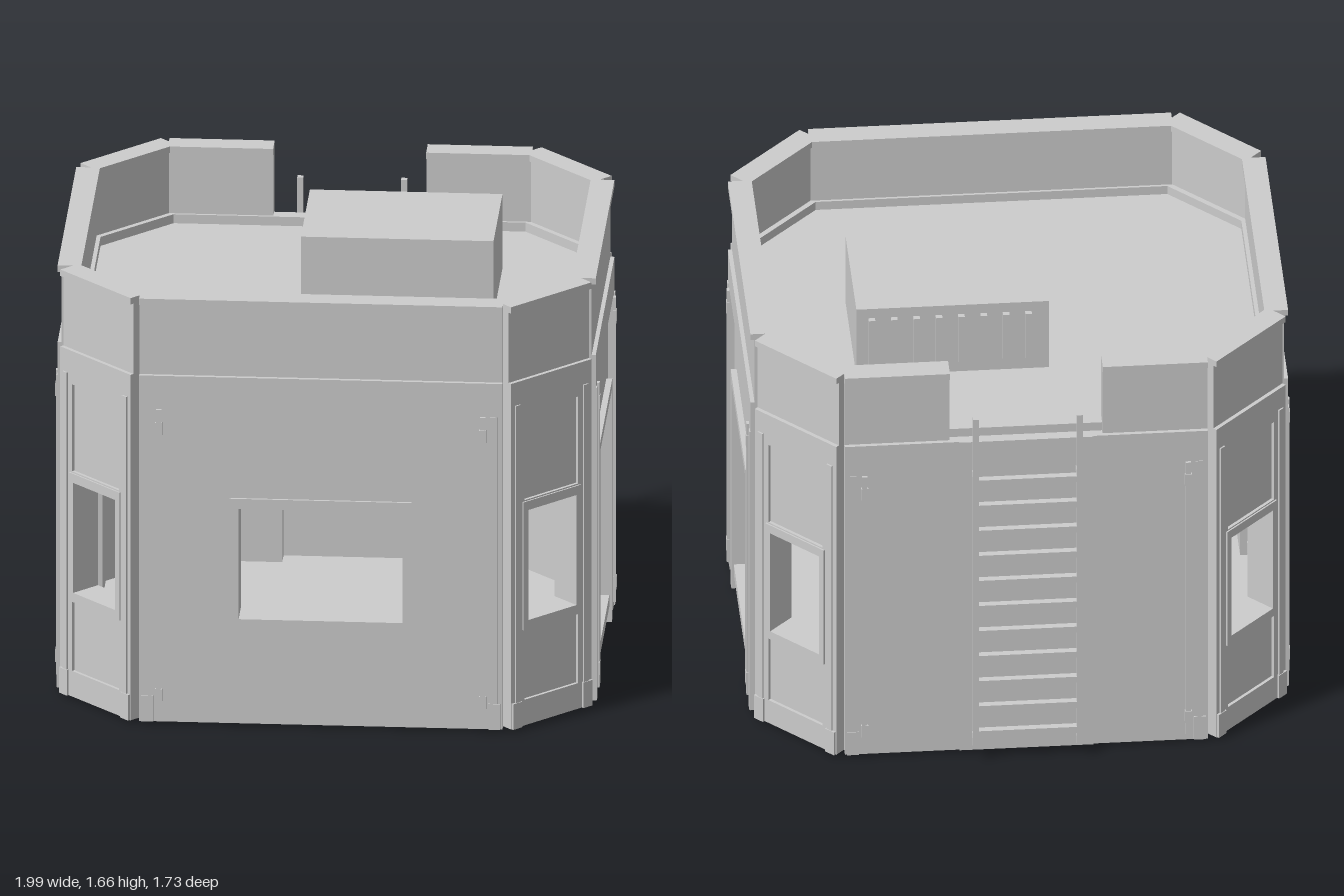
import * as THREE from 'three';

const grey = new THREE.MeshStandardMaterial({ color: 0xcccccc });
grey.name = 'plain grey';

function mesh(parent, name, geo) {
  const m = new THREE.Mesh(geo, grey);
  m.name = name;
  parent.add(m);
  return m;
}

// box given by its min and max on each axis
function box(parent, name, x0, x1, y0, y1, z0, z1) {
  const g = new THREE.BoxGeometry(x1 - x0, y1 - y0, z1 - z0);
  g.translate((x0 + x1) / 2, (y0 + y1) / 2, (z0 + z1) / 2);
  return mesh(parent, name, g);
}

function outline(Type, points) {
  return new Type().setFromPoints(points.map(([x, y]) => new THREE.Vector2(x, y)));
}

function extrude(parent, name, shape, z0, z1) {
  const g = new THREE.ExtrudeGeometry(shape, { depth: z1 - z0, bevelEnabled: false });
  g.translate(0, 0, z0);
  return mesh(parent, name, g);
}

const rect = (Type, h, y0, y1) => outline(Type, [[-h, y0], [h, y0], [h, y1], [-h, y1]]);

// upright sheet with rectangular holes; z0 to z1 is its thickness
function sheet(parent, name, half, y0, y1, z0, z1, holes = []) {
  const s = rect(THREE.Shape, half, y0, y1);
  for (const [h, a, b] of holes) s.holes.push(rect(THREE.Path, h, a, b));
  return extrude(parent, name, s, z0, z1);
}

// upright sheet with a doorway open at the bottom
function doorSheet(parent, name, half, y1, z0, z1, h, top) {
  const s = outline(THREE.Shape, [
    [-half, 0.01], [-h, 0.01], [-h, top], [h, top], [h, 0.01], [half, 0.01], [half, y1], [-half, y1],
  ]);
  return extrude(parent, name, s, z0, z1);
}

// eight-sided slab with half sizes x, z and corner cut c, optionally a ring of width w
function slab(parent, name, x, z, c, y0, y1, w) {
  const octagon = (Type, a, b, k) => outline(Type, [
    [a, b - k], [a - k, b], [k - a, b], [-a, b - k], [-a, k - b], [k - a, -b], [a - k, -b], [a, k - b],
  ]);
  const s = octagon(THREE.Shape, x, z, c);
  if (w) s.holes.push(octagon(THREE.Path, x - w, z - w, c - w * 0.586));
  const m = extrude(parent, name, s, y0, y1);
  m.geometry.rotateX(-Math.PI / 2);
  return m;
}

// group whose local z = 0 is the outer face of one wall
function face(parent, name, angle, dist, shift = 0) {
  const pivot = new THREE.Group();
  pivot.name = name;
  pivot.rotation.y = angle;
  const g = new THREE.Group();
  g.name = name + 'Parts';
  g.position.set(shift, 0, dist);
  pivot.add(g);
  parent.add(pivot);
  return g;
}

// thin upright conduit with two clips
function conduit(parent, x) {
  box(parent, 'conduit', x - 0.01, x + 0.01, 0.04, 1.23, -0.005, 0.01);
  for (const y of [0.09, 1.13]) box(parent, 'conduitClip', x - 0.013, x + 0.013, y, y + 0.05, -0.005, 0.012);
}

// parapet wall with its coping
function parapet(parent, x0, x1) {
  box(parent, 'parapet', x0, x1, 1.36, 1.636, -0.075, -0.015);
  box(parent, 'coping', x0, x1, 1.635, 1.66, -0.087, 0);
}

export function createModel() {
  const model = new THREE.Group();
  model.name = 'building';
  const body = new THREE.Group();
  body.name = 'body';
  body.position.z = 0.025;
  model.add(body);

  // floor, roof and the low curb at the foot of the parapet
  slab(body, 'floor', 0.94, 0.785, 0.3, 0, 0.055);
  slab(body, 'roof', 0.96, 0.805, 0.31, 1.23, 1.36);
  slab(body, 'roofCurb', 0.945, 0.79, 0.28, 1.355, 1.395, 0.05);

  // front wall with a framed window
  const front = face(body, 'frontWall', 0, 0.825);
  sheet(front, 'wall', 0.665, 0.01, 1.36, -0.11, 0, [[0.3, 0.42, 0.85]]);
  sheet(front, 'windowFrame', 0.333, 0.385, 0.89, -0.005, 0.009, [[0.3, 0.42, 0.85]]);
  for (const s of [-1, 1]) box(front, 'frameFoot', s * 0.317 - 0.016, s * 0.317 + 0.016, 0.37, 0.39, -0.005, 0.009);
  parapet(front, -0.665, 0.665);

  // back wall with a flat door panel and an opening in the parapet
  const back = face(body, 'backWall', Math.PI, 0.825);
  sheet(back, 'wall', 0.665, 0.01, 1.36, -0.11, 0, [[0.245, 0.055, 1.23]]);
  box(back, 'backPanel', -0.245, 0.245, 0.01, 1.36, -0.04, 0.005);
  parapet(back, -0.665, -0.28);
  parapet(back, 0.28, 0.665);

  for (const wall of [front, back]) {
    for (const s of [-1, 1]) {
      conduit(wall, s * 0.593);
      box(wall, 'edgeStrip', s * 0.633 - 0.013, s * 0.633 + 0.013, 0.01, 1.23, -0.005, 0.003);
      box(wall, 'edgeFoot', s * 0.635 - 0.022, s * 0.635 + 0.022, 0.01, 0.11, -0.005, 0.005);
    }
  }

  // side walls, each with a doorway in a shallow bay
  for (const s of [-1, 1]) {
    const side = face(body, s > 0 ? 'leftWall' : 'rightWall', s * Math.PI / 2, 0.985);
    doorSheet(side, 'wall', 0.505, 1.36, -0.11, -0.018, 0.3, 0.915);
    doorSheet(side, 'bayBorder', 0.505, 1.36, -0.02, 0, 0.425, 1.23);
    doorSheet(side, 'doorFrame', 0.333, 0.95, -0.02, 0.004, 0.3, 0.915);
    box(side, 'threshold', -0.3, 0.3, 0.07, 0.115, -0.085, -0.005);
    parapet(side, -0.505, 0.505);
    for (const k of [-1, 1]) {
      conduit(side, k * 0.44);
      box(side, 'edgeStrip', k * 0.49 - 0.012, k * 0.49 + 0.012, 0.01, 1.23, -0.005, 0.004);
    }
  }

  // corner walls with a window between two recessed panels
  for (const sx of [-1, 1]) for (const sz of [-1, 1]) {
    const corner = face(body, 'cornerWall', Math.atan2(sx, sz), 1.074, sx * sz * 0.106);
    const opening = [0.117, 0.42, 0.85];
    sheet(corner, 'wall', 0.195, 0.01, 1.36, -0.115, -0.012, [opening]);
    sheet(corner, 'panelBorder', 0.195, 0.01, 1.36, -0.015, 0, [[0.13, 0.11, 0.38], opening, [0.13, 0.89, 1.23]]);
    sheet(corner, 'windowFrame', 0.14, 0.385, 0.885, -0.005, 0.006, [opening]);
    parapet(corner, -0.195, 0.195);
    for (const k of [-1, 1]) {
      box(corner, 'edgeStrip', k * 0.165 - 0.012, k * 0.165 + 0.012, 0.01, 1.27, -0.005, 0.006);
      box(corner, 'edgeFoot', k * 0.17 - 0.022, k * 0.17 + 0.022, 0.01, 0.11, -0.005, 0.009);
    }
  }

  // rooftop unit with a row of fins at the back
  const unit = new THREE.Group();
  unit.name = 'rooftopUnit';
  model.add(unit);
  box(unit, 'unitBox', -0.12, 0.585, 1.355, 1.65, -0.335, 0.15);
  for (let i = 0; i < 8; i++) {
    const x = -0.045 + i * 0.082;
    box(unit, 'fin', x - 0.012, x + 0.012, 1.41, 1.61, -0.355, -0.33);
  }

  // ladder at the back
  const ladder = new THREE.Group();
  ladder.name = 'ladder';
  model.add(ladder);
  for (const s of [-1, 1]) {
    box(ladder, 'rail', s * 0.19 - 0.011, s * 0.19 + 0.011, 0.06, 1.5, -0.87, -0.845);
    for (const y of [0.07, 1.215]) box(ladder, 'bracket', s * 0.19 - 0.01, s * 0.19 + 0.01, y, y + 0.022, -0.85, -0.795);
  }
  for (let i = 0; i < 11; i++) {
    const y = 0.12 + i * 0.11;
    box(ladder, 'rung', -0.185, 0.185, y - 0.013, y + 0.013, -0.87, -0.845);
  }
  return model;
}
